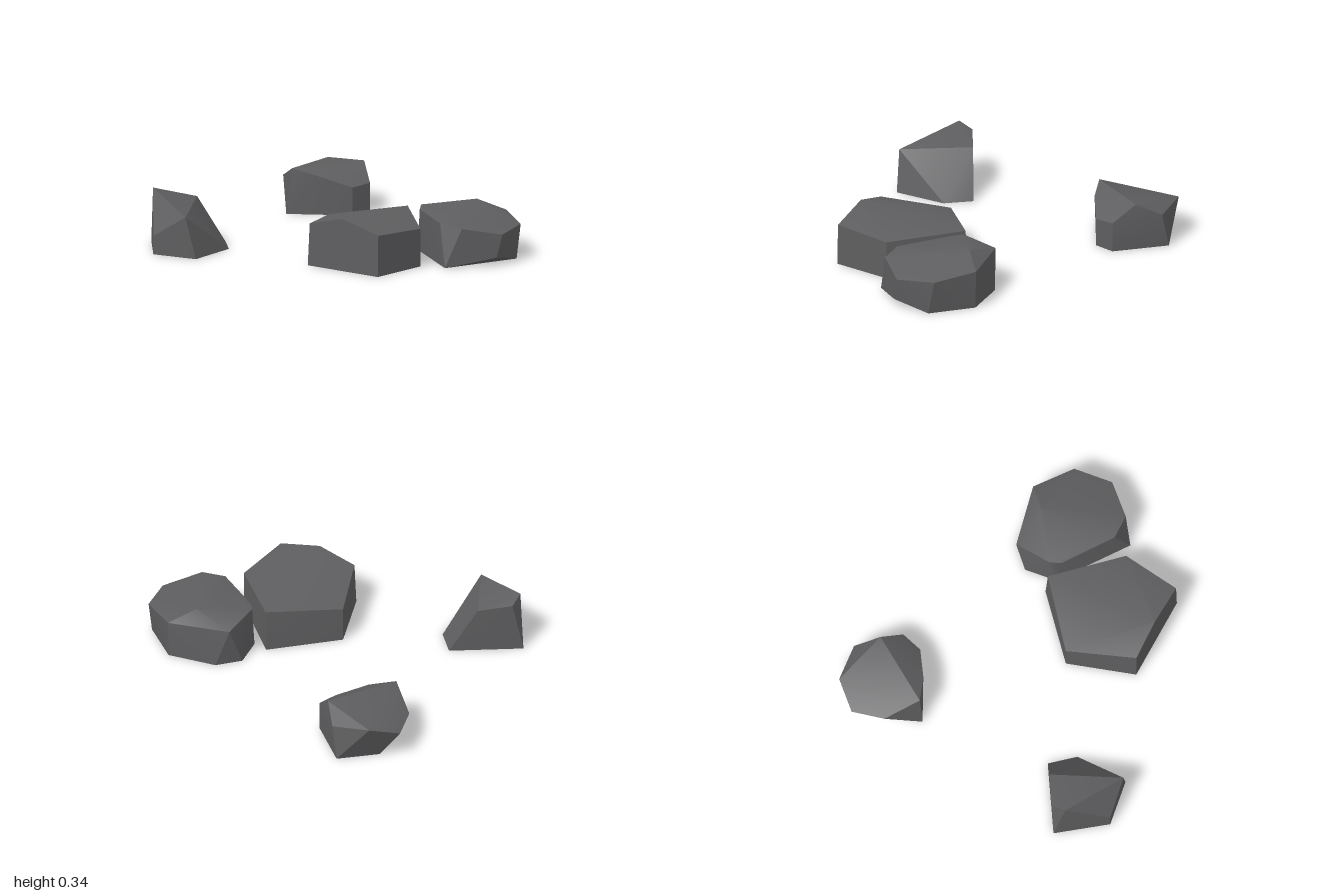
import * as THREE from 'three';
import { ConvexGeometry } from 'three/addons/geometries/ConvexGeometry.js';
import { toCreasedNormals } from 'three/addons/utils/BufferGeometryUtils.js';

// Each stone is the convex hull of its ground outline [x, z] and its upper corners [x, y, z].
const stones = {
  largeSlabStone: {
    base: [[-0.59, 0.09], [-0.2, -0.05], [0.12, 0.28], [-0.22, 0.63], [-0.58, 0.59]],
    top: [[-0.585, 0.25, 0.1], [-0.2, 0.21, -0.05], [0.11, 0.25, 0.29], [-0.22, 0.225, 0.63],
      [-0.575, 0.245, 0.59], [-0.58, 0.31, 0.33]],
  },
  roundedFrontStone: {
    base: [[-0.17, 0.77], [0.27, 0.96], [0.455, 0.74], [0.41, 0.45], [0.29, 0.34], [0.1, 0.37]],
    top: [[-0.1, 0.23, 0.84], [-0.11, 0.245, 0.69], [0.08, 0.185, 1], [0.05, 0.05, 0.98],
      [0.31, 0.2, 0.96], [0.46, 0.225, 0.74], [0.37, 0.23, 0.38], [0.14, 0.262, 0.365],
      [0.08, 0.25, 0.4], [0.34, 0.295, 0.62]],
  },
  backRightStone: {
    base: [[0.55, -0.44], [0.68, -0.41], [0.91, -0.66], [0.74, -0.85], [0.35, -0.77]],
    top: [[0.55, 0.165, -0.44], [0.68, 0.175, -0.41], [0.77, 0.275, -0.52], [0.89, 0.2, -0.62],
      [0.86, 0.23, -0.85], [0.71, 0.165, -0.97], [0.52, 0.18, -0.92], [0.38, 0.27, -0.75],
      [0.44, 0.23, -0.6]],
  },
  peakedBackStone: {
    base: [[-0.91, -0.79], [-0.65, -1], [-0.41, -0.64], [-0.54, -0.52], [-0.86, -0.52]],
    top: [[-0.91, 0.11, -0.79], [-0.88, 0.245, -0.58], [-0.7, 0.335, -0.95],
      [-0.61, 0.3, -0.95], [-0.5, 0.27, -0.78]],
  },
};

export function createModel() {
  const group = new THREE.Group();
  group.name = 'stoneCluster';
  const stone = new THREE.MeshStandardMaterial({ color: 0x5e5e60 });
  stone.name = 'darkGreyStone';

  for (const [name, { base, top }] of Object.entries(stones)) {
    const points = [
      ...base.map(([x, z]) => new THREE.Vector3(x, 0, z)),
      ...top.map((p) => new THREE.Vector3(...p)),
    ];
    // Gentle facets blend together, sharp edges stay crisp
    const mesh = new THREE.Mesh(toCreasedNormals(new ConvexGeometry(points), 0.5), stone);
    mesh.name = name;
    group.add(mesh);
  }
  return group;
}
